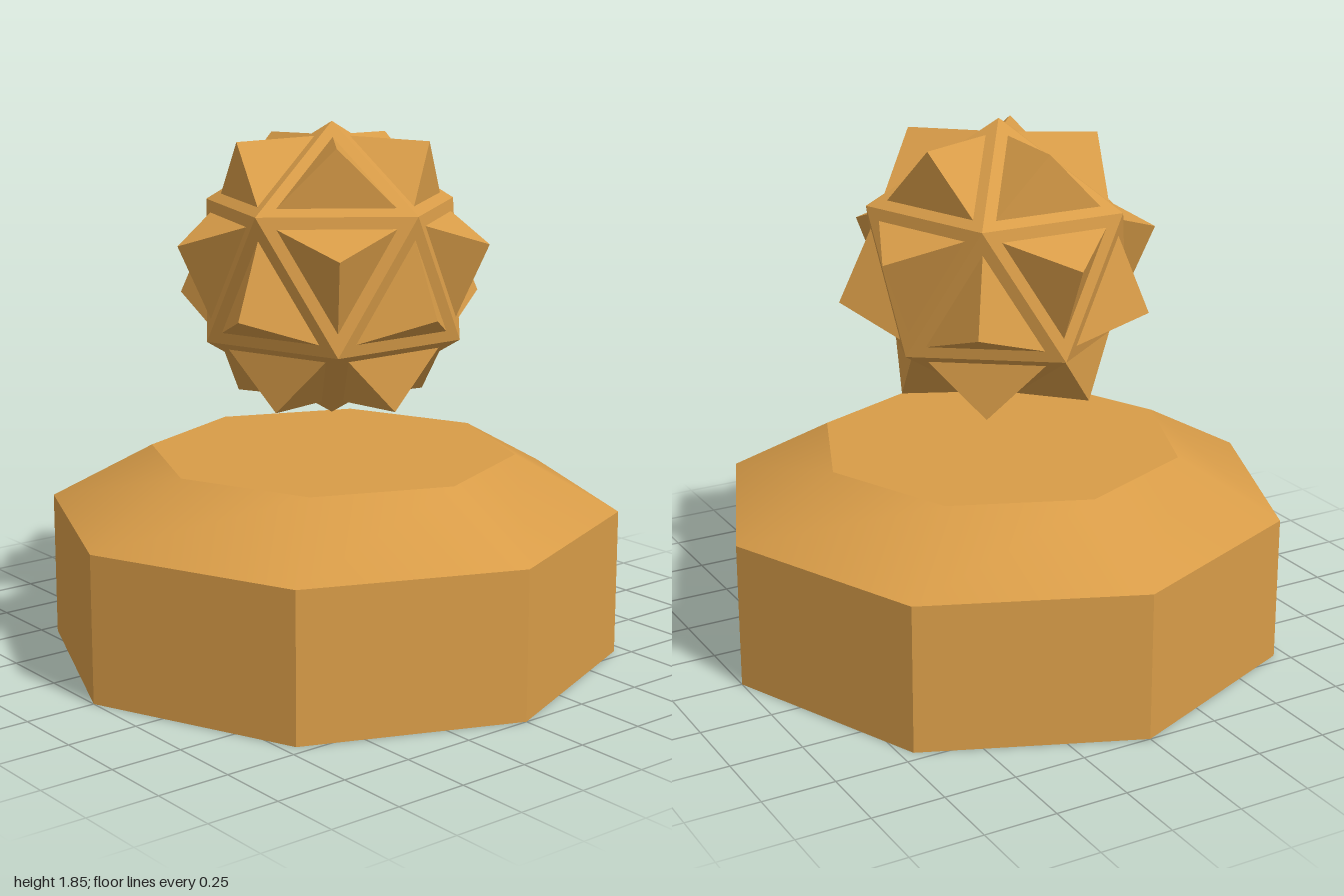
import * as THREE from 'three';

const R = 0.505, CENTER_Y = 1.345; // icosahedron radius and height
const INSET = 0.74, APEX = 0.56;   // spike base scale and apex distance

// Twenty outward-wound icosahedron faces with a vertex at each pole
function icosahedronFaces() {
  const ring = (y, offset) => Array.from({ length: 5 }, (_, k) => {
    const a = (k + offset) * Math.PI * 2 / 5, r = R * 2 / Math.sqrt(5);
    return new THREE.Vector3(r * Math.cos(a), y, r * Math.sin(a));
  });
  const top = new THREE.Vector3(0, R, 0), bottom = new THREE.Vector3(0, -R, 0);
  const up = ring(R / Math.sqrt(5), 0), low = ring(-R / Math.sqrt(5), 0.5);
  const faces = [];
  for (let k = 0; k < 5; k++) {
    const n = (k + 1) % 5;
    faces.push(
      [top, up[n], up[k]],
      [up[k], up[n], low[k]],
      [low[k], up[n], low[n]],
      [bottom, low[k], low[n]]
    );
  }
  return faces;
}

function meshFromPoints(name, points, material) {
  const geometry = new THREE.BufferGeometry().setFromPoints(points);
  geometry.computeVertexNormals();
  const mesh = new THREE.Mesh(geometry, material);
  mesh.name = name;
  return mesh;
}

export function createModel() {
  const model = new THREE.Group();
  model.name = 'spikedOrbOnPedestal';
  const color = 0xd89c48;
  const flat = new THREE.MeshStandardMaterial({ color, flatShading: true });
  const smooth = new THREE.MeshStandardMaterial({ color });

  const add = (name, geometry, material, y) => {
    const mesh = new THREE.Mesh(geometry, material);
    mesh.name = name;
    mesh.position.y = y;
    model.add(mesh);
    return mesh;
  };

  // Octagonal pedestal: faceted wall, smooth bevel, flat top and bottom
  const H = 0.51, TOP = 0.705, TOP_R = 0.64;
  add('pedestalWall', new THREE.CylinderGeometry(1, 1, H, 8, 1, true), flat, H / 2);
  add('pedestalBevel', new THREE.CylinderGeometry(TOP_R, 1, TOP - H, 8, 1, true), smooth, (H + TOP) / 2);
  add('pedestalTop', new THREE.CircleGeometry(TOP_R, 8), flat, TOP).rotation.x = -Math.PI / 2;
  add('pedestalBottom', new THREE.CircleGeometry(1, 8), flat, 0).rotation.x = Math.PI / 2;

  // Floating orb: a flat border around each face, with a three-sided spike inside it
  const border = [], spikes = [];
  for (const face of icosahedronFaces()) {
    const middle = new THREE.Vector3();
    face.forEach(p => middle.addScaledVector(p, 1 / 3));
    const inner = face.map(p => middle.clone().lerp(p, INSET));
    const apex = middle.clone().setLength(APEX);
    for (let i = 0; i < 3; i++) {
      const j = (i + 1) % 3;
      border.push(face[i], face[j], inner[j], face[i], inner[j], inner[i]);
      spikes.push(inner[i], inner[j], apex);
    }
  }
  const orb = new THREE.Group();
  orb.name = 'floatingOrb';
  orb.position.y = CENTER_Y;
  orb.add(meshFromPoints('orbFrame', border, flat), meshFromPoints('orbSpikes', spikes, flat));
  model.add(orb);
  return model;
}
